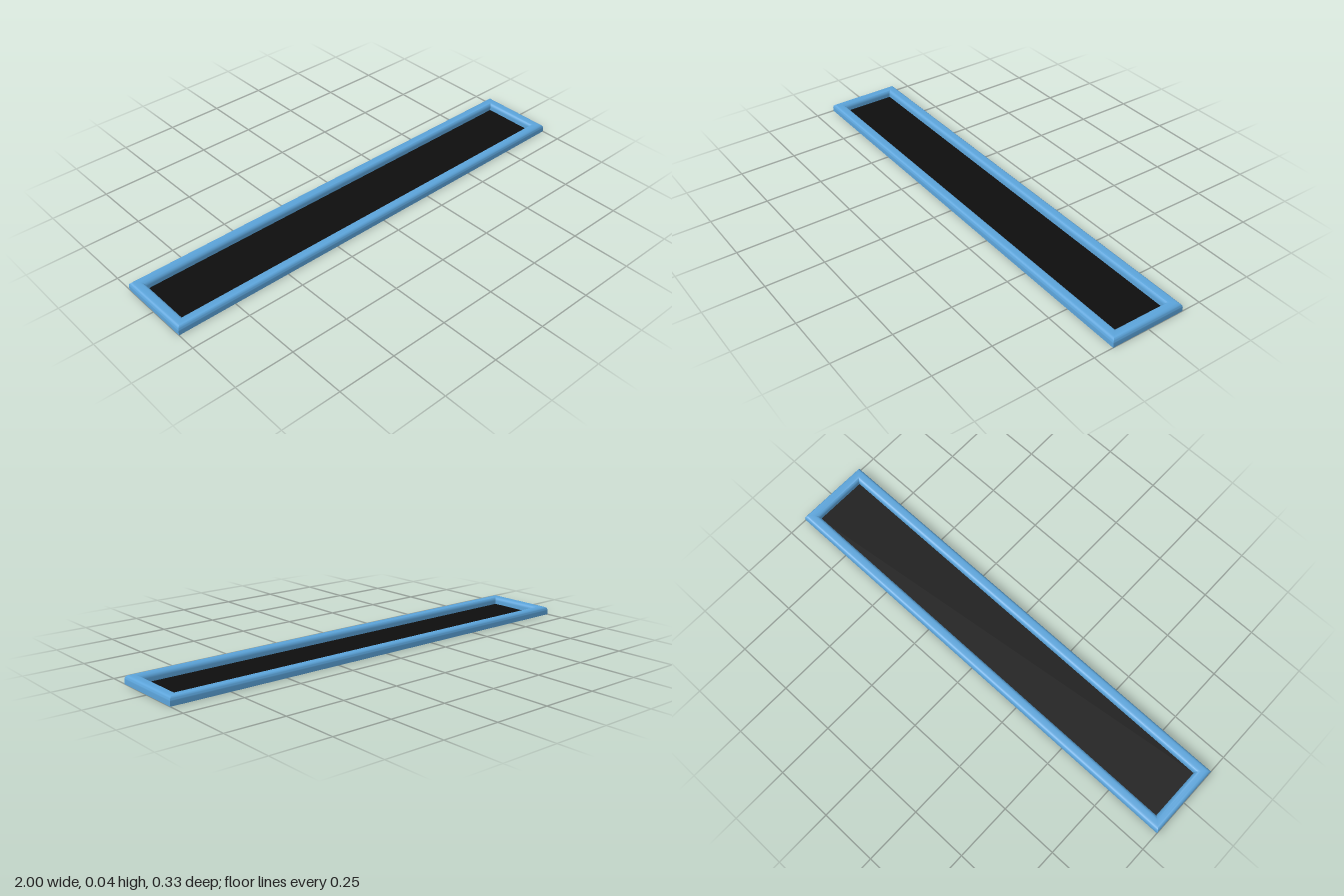
import * as THREE from 'three';
import { toCreasedNormals } from 'three/addons/utils/BufferGeometryUtils.js';

const HALF_X = 1, HALF_Z = 0.165, HEIGHT = 0.036;
const RIM = 0.047, RADIUS = 0.017, FLOOR = 0.004;

// Rim cross-section as [inset from outer edge, height], outside to inside
function rimProfile(steps = 6) {
  const pts = [[0, 0]];
  for (const side of [0, 1]) {
    for (let i = 0; i <= steps; i++) {
      const a = (Math.PI / 2) * (side + i / steps);
      const cx = side ? RIM - RADIUS : RADIUS;
      pts.push([cx - RADIUS * Math.cos(a), HEIGHT - RADIUS + RADIUS * Math.sin(a)]);
    }
  }
  pts.push([RIM, 0]);
  return pts;
}

// Sweep the cross-section around a rectangle with mitred corners
function mitredRim(profile) {
  const corners = [[-1, 1], [1, 1], [1, -1], [-1, -1]];
  const pos = [];
  const point = ([sx, sz], [d, y]) => [sx * (HALF_X - d), y, sz * (HALF_Z - d)];
  corners.forEach((c, i) => {
    const n = corners[(i + 1) % 4];
    for (let j = 0; j < profile.length - 1; j++) {
      const a = point(c, profile[j]), b = point(n, profile[j]);
      const d = point(c, profile[j + 1]), e = point(n, profile[j + 1]);
      pos.push(...a, ...b, ...e, ...a, ...e, ...d);
    }
  });
  const geo = new THREE.BufferGeometry();
  geo.setAttribute('position', new THREE.Float32BufferAttribute(pos, 3));
  return toCreasedNormals(geo, 0.6);
}

export function createModel() {
  const group = new THREE.Group();
  const blue = new THREE.MeshStandardMaterial({ color: 0x5ba3d9 });
  const black = new THREE.MeshStandardMaterial({ color: 0x0d0d0d });
  const add = (name, geo, mat, y = 0) => {
    const mesh = new THREE.Mesh(geo, mat);
    mesh.name = name;
    mesh.position.y = y;
    group.add(mesh);
  };

  // Raised rounded border
  add('rim', mitredRim(rimProfile()), blue);

  // Closed underside
  add('underside', new THREE.PlaneGeometry(2 * HALF_X, 2 * HALF_Z).rotateX(Math.PI / 2), blue);

  // Dark recessed floor
  add('floorPanel', new THREE.PlaneGeometry(2 * (HALF_X - RIM), 2 * (HALF_Z - RIM)).rotateX(-Math.PI / 2), black, FLOOR);

  return group;
}
